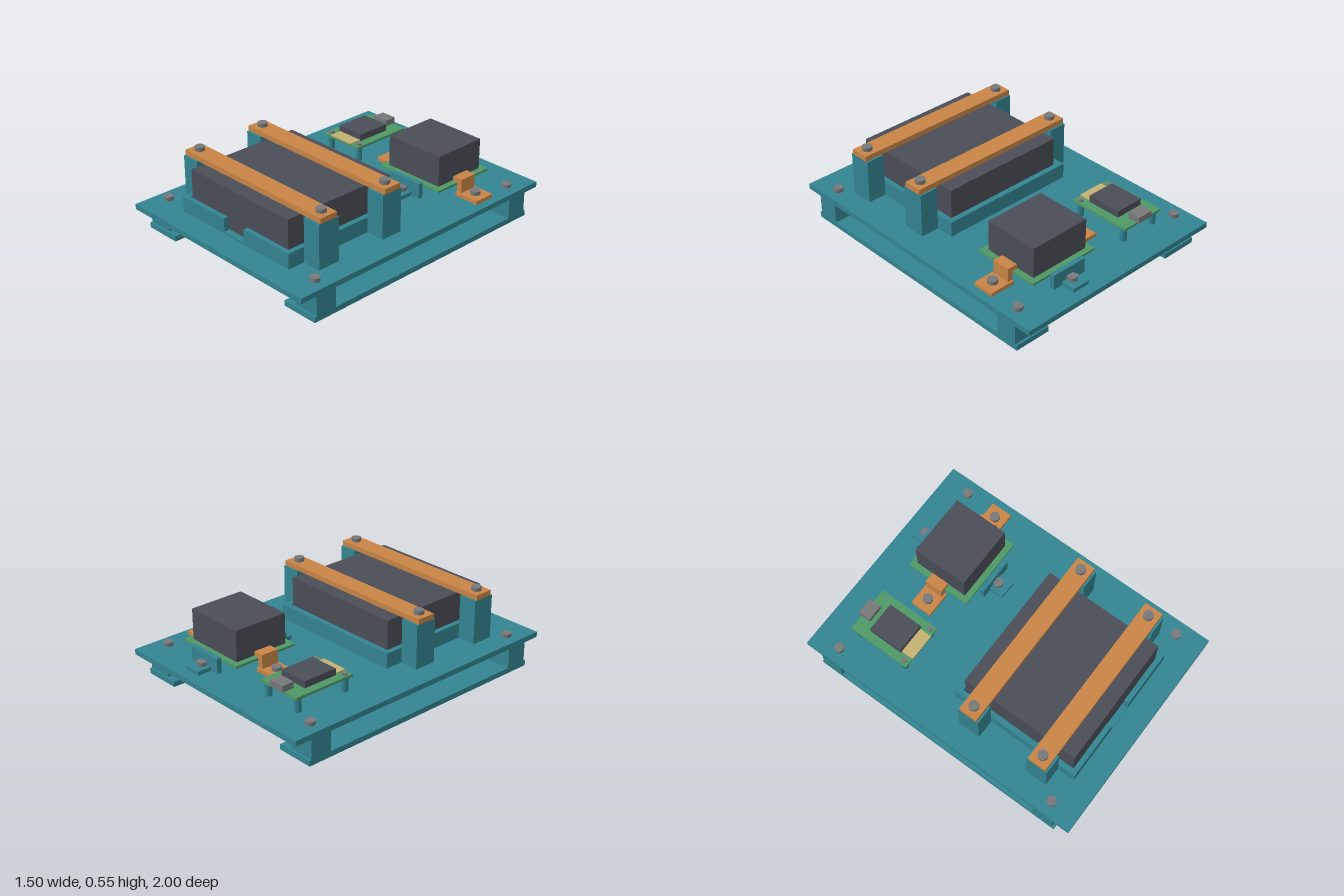
import * as THREE from 'three';

const mat = (name, color) => {
  const m = new THREE.MeshStandardMaterial({ color });
  m.name = name;
  return m;
};

export function createModel() {
  const teal = mat('teal plastic', 0x338491);
  const dark = mat('dark casing', 0x4a4d57);
  const orange = mat('orange clamp', 0xc98546);
  const green = mat('circuit board green', 0x4f9865);
  const grey = mat('metal grey', 0x77787a);
  const gold = mat('contact gold', 0xc4b072);

  const model = new THREE.Group();
  model.name = 'equipmentTray';

  // box given by its extents on each axis
  const box = (name, m, [x0, x1], [y0, y1], [z0, z1]) => {
    const mesh = new THREE.Mesh(new THREE.BoxGeometry(x1 - x0, y1 - y0, z1 - z0), m);
    mesh.position.set((x0 + x1) / 2, (y0 + y1) / 2, (z0 + z1) / 2);
    mesh.name = name;
    model.add(mesh);
  };
  const rod = (name, m, r, x, z, y0, y1, sides = 24) => {
    const mesh = new THREE.Mesh(new THREE.CylinderGeometry(r, r, y1 - y0, sides), m);
    mesh.position.set(x, (y0 + y1) / 2, z);
    mesh.name = name;
    model.add(mesh);
  };
  // extents mirrored to the other side when s is -1
  const flip = (s, a, b) => (s > 0 ? [a, b] : [-b, -a]);
  // bolt with round head above and hex nut below the plate
  const bolt = (x, z, top, bottom) => {
    rod('boltHead', grey, 0.032, x, z, top, top + 0.025);
    rod('boltNut', grey, 0.037, x, z, 0.133, 0.165, 6);
    rod('boltShank', grey, 0.018, x, z, bottom, 0.15, 16);
  };

  // base plate, rails, cross bar and legs
  box('basePlate', teal, [-0.75, 0.75], [0.165, 0.2], [-1, 1]);
  box('crossBar', teal, [-0.5, 0.5], [0, 0.035], [-0.09, 0.07]);
  for (const s of [1, -1]) {
    box('footRail', teal, flip(s, 0.5, 0.75), [0, 0.035], [-0.9, 0.9]);
    for (const t of [1, -1]) {
      box('leg', teal, flip(s, 0.575, 0.75), [0.035, 0.165], flip(t, 0.74, 0.885));
      rod('cornerScrew', grey, 0.031, s * 0.66, t * 0.813, 0.2, 0.225);
    }
  }

  // battery cradle: floor, walls and a notched front
  box('cradleFloor', teal, [-0.475, 0.475], [0.2, 0.214], [-0.047, 0.843]);
  box('cradleBackWall', teal, [-0.475, 0.475], [0.214, 0.3], [-0.047, -0.01]);
  for (const s of [1, -1]) {
    box('cradleSideWall', teal, flip(s, 0.44, 0.475), [0.214, 0.3], [-0.01, 0.81]);
    box('cradleFrontWall', teal, flip(s, 0.088, 0.475), [0.214, 0.3], [0.81, 0.843]);
  }
  box('battery', dark, [-0.43, 0.43], [0.214, 0.485], [0, 0.803]);

  // posts and clamp bars over the battery
  for (const z of [0.15, 0.65]) {
    box('clampBar', orange, [-0.6, 0.6], [0.49, 0.525], [z - 0.062, z + 0.062]);
    for (const s of [1, -1]) {
      box('clampPost', teal, flip(s, 0.475, 0.6), [0.2, 0.49], [z - 0.075, z + 0.075]);
      bolt(s * 0.538, z, 0.525, 0.088);
    }
  }

  // large module on its board
  const cx = 0.27, cz = -0.565;
  box('moduleBoard', green, [0.02, 0.52], [0.27, 0.285], [-0.79, -0.34]);
  box('moduleCasing', dark, [0.06, 0.48], [0.285, 0.488], [-0.752, -0.38]);
  for (const s of [1, -1]) {
    const sx = (a, b) => flip(s, a, b).map((v) => v + cx);
    const sz = (a, b) => flip(s, a, b).map((v) => v + cz);
    // orange side clips with a lip over the board
    box('clipFoot', orange, sx(0.252, 0.425), [0.2, 0.225], [cz - 0.072, cz + 0.072]);
    box('clipWall', orange, sx(0.252, 0.288), [0.225, 0.285], [cz - 0.06, cz + 0.06]);
    box('clipLip', orange, sx(0.218, 0.288), [0.285, 0.317], [cz - 0.06, cz + 0.06]);
    bolt(cx + s * 0.35, cz, 0.225, 0.1);
    // teal end stops
    box('stopWall', teal, [0.147, 0.395], [0.2, 0.3], sz(0.235, 0.267));
    box('stopFoot', teal, [0.21, 0.332], [0.2, 0.225], sz(0.267, 0.362));
    bolt(cx, cz + s * 0.288, 0.225, 0.1);
  }

  // small controller board on standoffs
  box('controllerBoard', green, [-0.535, -0.222], [0.29, 0.306], [-0.806, -0.378]);
  box('controllerChip', dark, [-0.48, -0.28], [0.306, 0.35], [-0.695, -0.46]);
  box('contactPad', gold, [-0.47, -0.287], [0.306, 0.313], [-0.46, -0.376]);
  box('cableSocket', grey, [-0.435, -0.325], [0.306, 0.347], [-0.822, -0.738]);
  for (const x of [-0.505, -0.25]) {
    for (const z of [-0.415, -0.77]) rod('standoff', teal, 0.022, x, z, 0.2, 0.29, 16);
    rod('boardScrew', grey, 0.018, x, -0.415, 0.306, 0.318, 16);
    rod('boardNut', grey, 0.022, x, -0.415, 0.148, 0.165, 6);
    rod('boardScrewShank', grey, 0.011, x, -0.415, 0.11, 0.155, 12);
  }
  return model;
}
